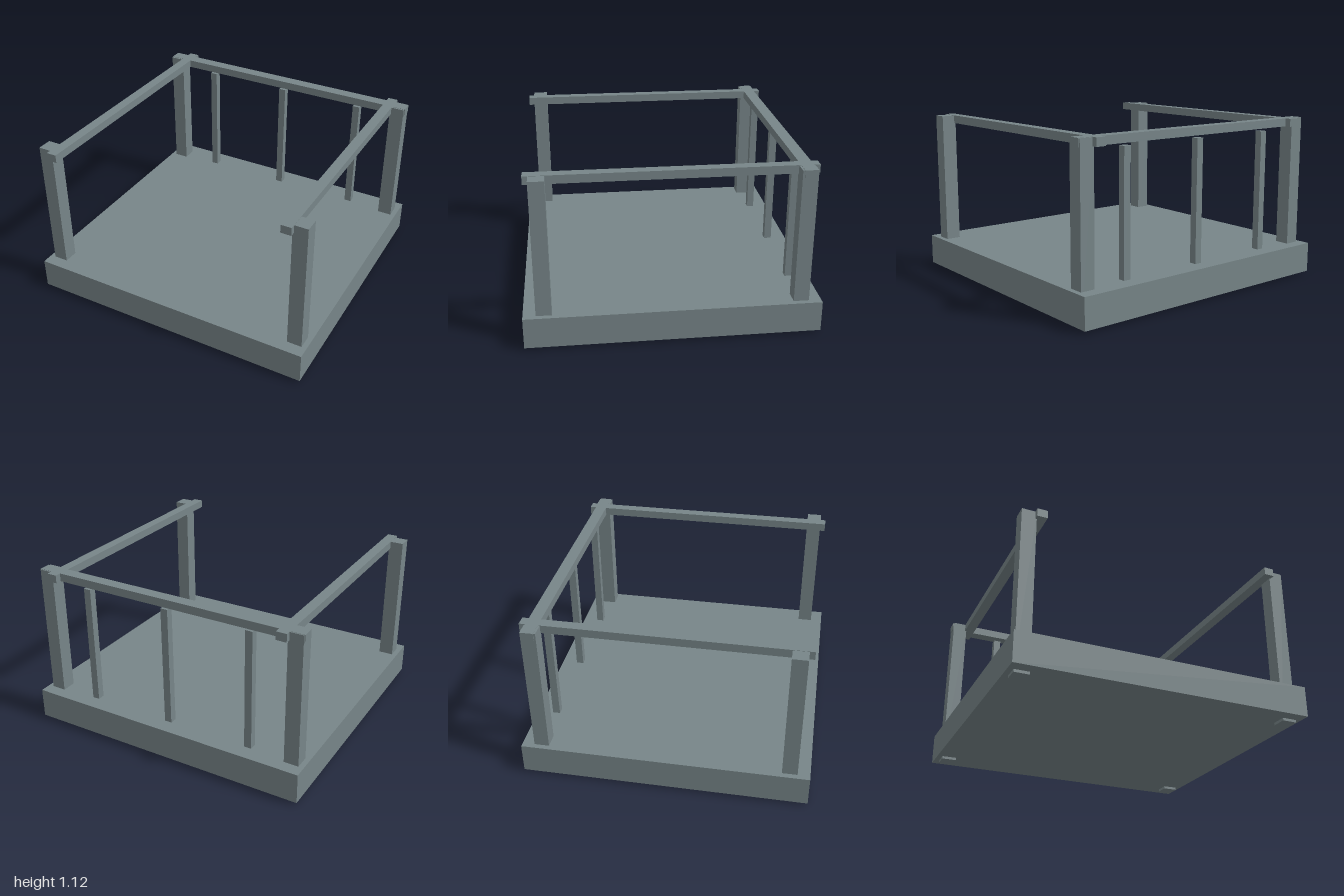
import * as THREE from 'three';

export function createModel() {
  const model = new THREE.Group();
  model.name = 'railedPlatform';
  const slate = new THREE.MeshStandardMaterial({ color: 0x778588 });
  slate.name = 'slate grey';

  // Box given by its extents on each axis
  function box(name, [x0, x1], [y0, y1], [z0, z1]) {
    const mesh = new THREE.Mesh(new THREE.BoxGeometry(x1 - x0, y1 - y0, z1 - z0), slate);
    mesh.position.set((x0 + x1) / 2, (y0 + y1) / 2, (z0 + z1) / 2);
    mesh.name = name;
    model.add(mesh);
  }
  const around = (centre, width) => [centre - width / 2, centre + width / 2];

  // Floor slab
  box('platform', [-1, 1], [0.018, 0.225], [-0.955, 0.955]);

  for (const side of [-1, 1]) {
    const name = side > 0 ? 'left' : 'right';
    // Corner posts pass through the slab and form short feet below it
    box(name + 'FrontPost', around(side * 0.915, 0.1), [0, 1.123], around(0.823, 0.1));
    box(name + 'BackPost', around(side * 0.915, 0.1), [0, 1.123], around(-0.823, 0.1));
    // Side rail runs along the inner faces of the posts
    box(name + 'Rail', around(side * 0.84, 0.07), [1.07, 1.125], [-0.908, 0.908]);
  }

  // Back rail with slim balusters stopping just below it
  box('backRail', [-0.97, 0.97], [1.07, 1.125], around(-0.826, 0.08));
  for (const x of [-0.6, 0, 0.6]) {
    box('baluster', around(x, 0.05), [0.225, 1.05], around(-0.826, 0.05));
  }
  return model;
}
